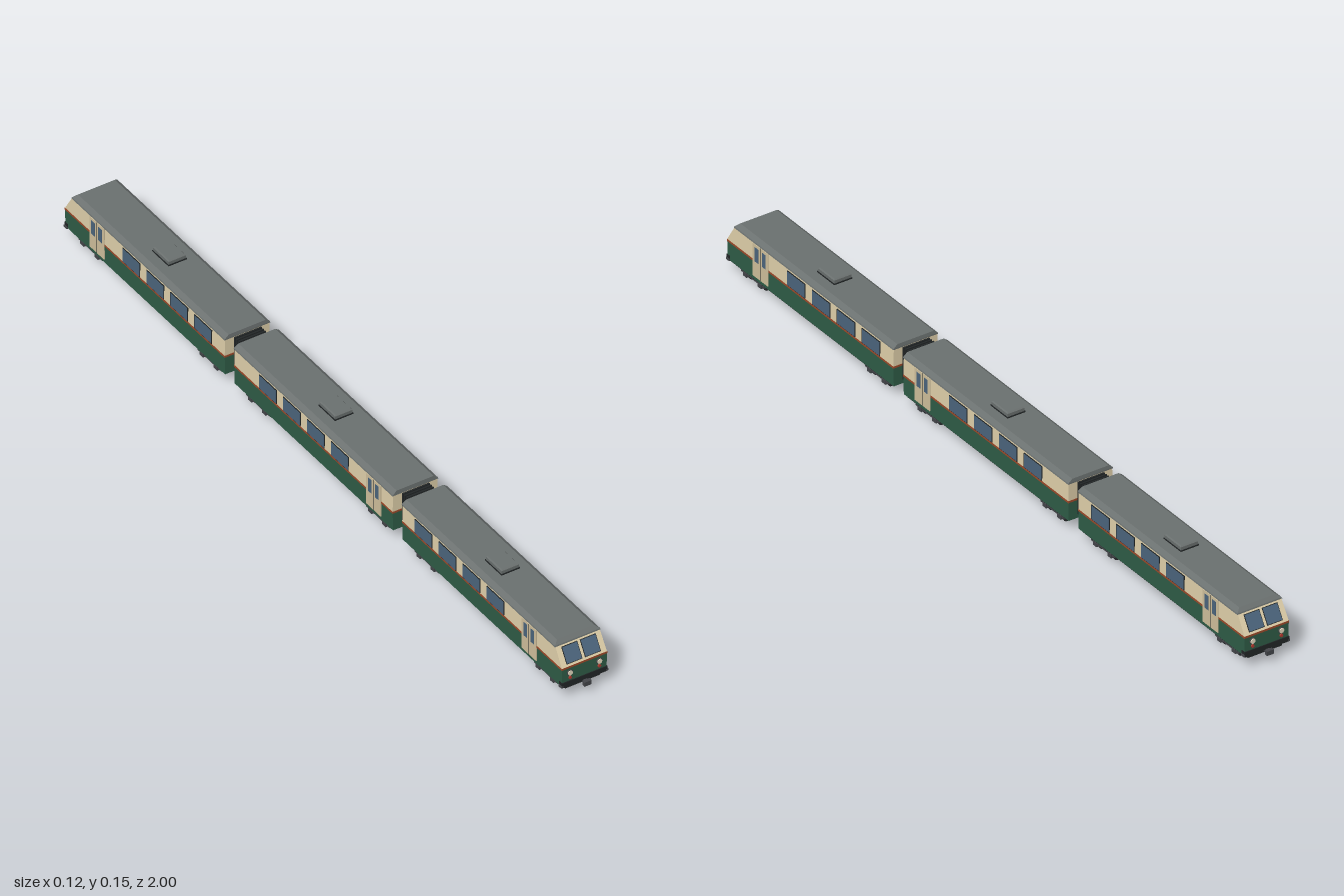
import * as THREE from 'three';
import { ConvexGeometry } from 'three/addons/geometries/ConvexGeometry.js';

const mat = (name, color) => {
  const m = new THREE.MeshStandardMaterial({ color });
  m.name = name;
  return m;
};

export function createModel() {
  const cream = mat('cream', 0xe0d0aa), green = mat('green', 0x2f5d47), roofGrey = mat('roof grey', 0x6a706f);
  const glass = mat('glass blue', 0x4c657d), rust = mat('rust stripe', 0x9c4a2a), dark = mat('dark underframe', 0x222627);
  const bogieGrey = mat('bogie grey', 0x44464a), doorTan = mat('door tan', 0xd0c09c);
  const lamp = mat('lamp white', 0xf3e8cc), tail = mat('tail red', 0xb23a30);

  const add = (parent, name, geometry, material, x = 0, y = 0, z = 0) => {
    const m = new THREE.Mesh(geometry, material);
    m.name = name;
    m.position.set(x, y, z);
    parent.add(m);
    return m;
  };
  const box = (parent, name, material, w, h, d, x, y, z) =>
    add(parent, name, new THREE.BoxGeometry(w, h, d), material, x, y, z);

  // Horizontal slice of a car: each level is [y, half width, front z, back z]
  const slice = (parent, name, material, ...levels) => {
    const pts = [];
    for (const [y, hw, zf, zb] of levels)
      for (const x of [-hw, hw]) for (const z of [zf, zb]) pts.push(new THREE.Vector3(x, y, z));
    return add(parent, name, new ConvexGeometry(pts), material);
  };

  // Bogie: frame, side beams, two axles with wheels
  const bogie = (parent, z) => {
    const g = new THREE.Group();
    g.name = 'bogie';
    g.position.z = z;
    parent.add(g);
    box(g, 'bogieFrame', dark, 0.076, 0.01, 0.075, 0, 0.024, 0);
    for (const s of [-1, 1]) {
      box(g, 'sideBeam', bogieGrey, 0.008, 0.009, 0.09, s * 0.044, 0.021, 0);
      for (const dz of [-0.028, 0.028]) {
        const wheel = add(g, 'wheel', new THREE.CylinderGeometry(0.014, 0.014, 0.008, 16), dark, s * 0.032, 0.014, dz);
        wheel.rotation.z = Math.PI / 2;
        box(g, 'axleBox', bogieGrey, 0.006, 0.01, 0.014, s * 0.047, 0.016, dz);
      }
    }
    for (const dz of [-0.028, 0.028]) {
      const axle = add(g, 'axle', new THREE.CylinderGeometry(0.003, 0.003, 0.064, 8), bogieGrey, 0, 0.014, dz);
      axle.rotation.z = Math.PI / 2;
    }
  };

  // Double door with two narrow panes on each side
  const door = (parent, s, z) => {
    box(parent, 'door', doorTan, 0.002, 0.083, 0.058, s * 0.0592, 0.0835, z);
    box(parent, 'doorSeam', dark, 0.0006, 0.083, 0.0015, s * 0.0603, 0.0835, z);
    for (const dz of [-0.014, 0.014])
      box(parent, 'doorPane', glass, 0.001, 0.036, 0.014, s * 0.0604, 0.1, z + dz);
  };

  // Cab front: windscreens, lamps, apron, buffers and coupler
  const cabFront = (car, front) => {
    const screen = new THREE.Group();
    screen.name = 'windscreen';
    screen.position.set(0, 0.105, front - 0.0135);
    screen.rotation.x = -Math.atan2(0.027, 0.044);
    car.add(screen);
    for (const s of [-1, 1]) {
      box(screen, 'windscreenFrame', dark, 0.041, 0.041, 0.002, s * 0.024, 0, 0);
      box(screen, 'windscreenPane', glass, 0.038, 0.038, 0.002, s * 0.024, 0, 0.0008);
      const disc = (name, m, r, y, d) => {
        const c = add(car, name, new THREE.CylinderGeometry(r, r, d, 16), m, s * 0.038, y, front + d / 2);
        c.rotation.x = Math.PI / 2;
      };
      disc('headlightRim', bogieGrey, 0.0075, 0.066, 0.002);
      disc('headlight', lamp, 0.006, 0.066, 0.004);
      disc('tailLight', tail, 0.004, 0.053, 0.003);
      box(car, 'buffer', bogieGrey, 0.006, 0.005, 0.012, s * 0.058, 0.034, front - 0.004);
    }
    box(car, 'apron', dark, 0.118, 0.013, 0.012, 0, 0.0375, front - 0.004);
    box(car, 'plow', dark, 0.09, 0.012, 0.01, 0, 0.026, front - 0.012);
    box(car, 'couplerBar', bogieGrey, 0.01, 0.008, 0.03, 0, 0.029, front - 0.004);
    box(car, 'couplerHead', bogieGrey, 0.018, 0.011, 0.009, 0, 0.029, 0.9955);
  };

  // One carriage spanning back..front; nose cars get a raked cab
  const carriage = (name, back, front, nose, doorZ, bogies, middle) => {
    const car = new THREE.Group();
    car.name = name;
    const rake = nose ? 0.027 : 0, lip = nose ? 0.035 : 0;
    box(car, 'floor', dark, 0.108, 0.006, front - back - 0.02, 0, 0.0305, (front + back) / 2);
    slice(car, 'lowerBody', green, [0.032, 0.0575, front, back], [0.078, 0.0585, front, back]);
    slice(car, 'stripe', rust, [0.078, 0.059, front + 0.0006, back - 0.0006], [0.083, 0.059, front + 0.0006, back - 0.0006]);
    slice(car, 'upperBody', cream, [0.083, 0.0585, front, back], [0.127, 0.0575, front - rake, back]);
    slice(car, 'roof', roofGrey, [0.126, 0.0595, front - rake + 0.001, back - 0.001],
      [0.129, 0.0585, front - rake, back - 0.001], [0.137, 0.048, front - lip, back]);
    box(car, 'roofUnitBase', dark, 0.048, 0.003, 0.066, 0, 0.138, middle);
    slice(car, 'roofUnit', roofGrey, [0.138, 0.0225, middle + 0.031, middle - 0.031],
      [0.147, 0.0225, middle + 0.031, middle - 0.031], [0.15, 0.02, middle + 0.028, middle - 0.028]);
    box(car, 'equipmentBox', bogieGrey, 0.076, 0.013, 0.15, 0, 0.0235, middle - (nose ? 0.013 : 0));
    for (const s of [-1, 1]) {
      door(car, s, doorZ);
      for (let i = 0; i < 4; i++) {
        const z = doorZ - 0.135 - i * 0.095;
        box(car, 'windowFrame', dark, 0.002, 0.037, 0.069, s * 0.0585, 0.102, z);
        box(car, 'windowPane', glass, 0.002, 0.034, 0.066, s * 0.0592, 0.102, z);
      }
    }
    bogies.forEach((z) => bogie(car, z));
    if (nose) cabFront(car, front);
    return car;
  };

  // Ribbed connection between carriages
  const gangway = (z) => {
    const g = new THREE.Group();
    g.name = 'gangway';
    g.position.z = z;
    box(g, 'gangwayCore', dark, 0.064, 0.076, 0.05, 0, 0.084, 0);
    for (let i = -2; i <= 2; i++) box(g, 'gangwayRib', dark, 0.07, 0.082, 0.004, 0, 0.084, i * 0.008);
    box(g, 'drawbar', bogieGrey, 0.012, 0.008, 0.06, 0, 0.035, 0);
    return g;
  };

  const train = new THREE.Group();
  train.name = 'train';
  const cab = () => carriage('cabCar', 0.352, 0.985, true, 0.857, [0.903, 0.43], 0.66);
  const rear = cab();
  rear.name = 'rearCabCar';
  rear.rotation.y = Math.PI;
  train.add(cab(), rear, carriage('middleCar', -0.314, 0.314, false, 0.24, [0.238, -0.238], 0));
  train.add(gangway(0.333), gangway(-0.333));
  return train;
}
